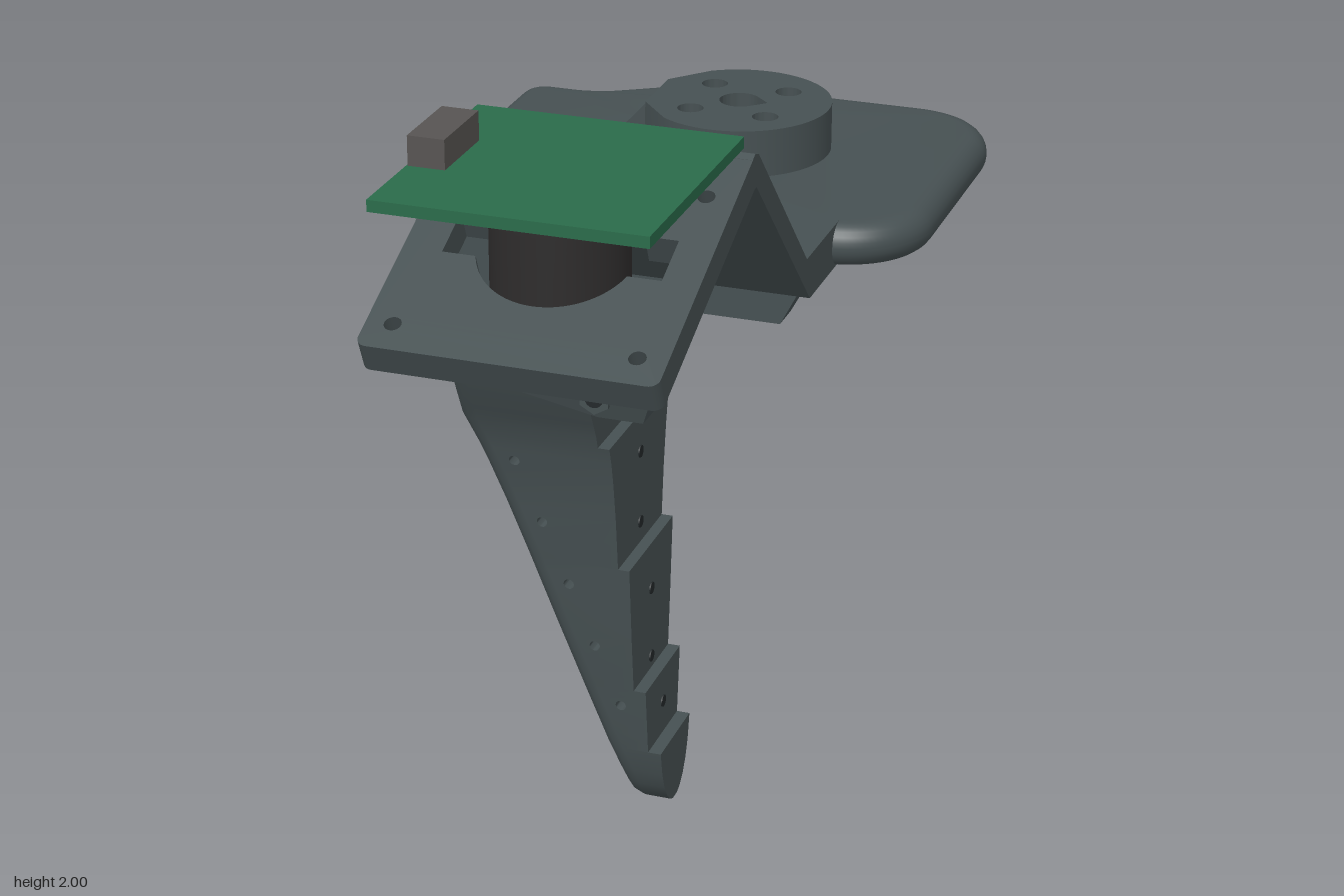
import * as THREE from 'three';
import { mergeGeometries, toCreasedNormals } from 'three/addons/utils/BufferGeometryUtils.js';

const mat = (color, extra = {}) => new THREE.MeshStandardMaterial({ color, ...extra });
const BODY = mat(0x465052), DARK = mat(0x23282a), BARREL = mat(0x2e2c2c);
const GREEN = mat(0x2a6b4a), GREY = mat(0x575452), GLASS = mat(0x1f4a66);
const CZ = -0.52; // centre line of hand and finger in z

const circle = (x, y, r) => new THREE.Path().absarc(x, y, r, 0, Math.PI * 2, true);
const poly = (pts, holes = []) => {
  const s = new THREE.Shape(pts.map(p => new THREE.Vector2(p[0], p[1])));
  s.holes.push(...holes);
  return s;
};
const extrude = (shape, depth, opts = {}) =>
  new THREE.ExtrudeGeometry(shape, { depth, bevelEnabled: false, curveSegments: 20, ...opts });

// Closed outline with rounded corners; each point is [x, y, radius]
function roundedOutline(pts) {
  const s = new THREE.Shape(), n = pts.length;
  pts.forEach((p, i) => {
    const toward = q => {
      const dx = q[0] - p[0], dy = q[1] - p[1], k = p[2] / Math.hypot(dx, dy);
      return [p[0] + dx * k, p[1] + dy * k];
    };
    const a = toward(pts[(i + n - 1) % n]), b = toward(pts[(i + 1) % n]);
    const c = 0.45; // handle length for a near-circular corner
    const mix = q => [p[0] + (q[0] - p[0]) * c, p[1] + (q[1] - p[1]) * c];
    if (i) s.lineTo(...a); else s.moveTo(...a);
    s.bezierCurveTo(...mix(a), ...mix(b), ...b);
  });
  s.closePath();
  return s;
}

// Slab drawn in x/y whose two faces are placed in z by a rule
function slab(pts, holes, zRule) {
  const g = extrude(poly(pts, holes), 1), p = g.attributes.position;
  for (let i = 0; i < p.count; i++) p.setZ(i, zRule(p.getX(i), p.getY(i), p.getZ(i)));
  return g;
}
const smooth = (parts, angle = 0.5) => {
  const g = mergeGeometries(parts);
  return toCreasedNormals(g, angle);
};

// Linear interpolation in a short [position, value] table
function lerpTable(t, y) {
  let i = 1;
  while (i < t.length - 1 && y > t[i][0]) i++;
  const [a, b] = [t[i - 1], t[i]];
  return a[1] + (b[1] - a[1]) * (y - a[0]) / (b[0] - a[0]);
}

export function createModel() {
  const model = new THREE.Group();
  const add = (name, geo, material, x = 0, y = 0, z = 0) => {
    const m = new THREE.Mesh(geo, material);
    m.name = name;
    m.position.set(x, y, z);
    model.add(m);
    return m;
  };

  // Finger: stacked bands, stepped grip in front, rounded sloping back, pin holes across
  const halfWidth = [[0, 0.015], [0.01, 0.035], [0.03, 0.055], [0.06, 0.073], [0.1, 0.088], [0.16, 0.1],
    [0.3, 0.115], [0.45, 0.13], [0.63, 0.145], [0.75, 0.158], [0.845, 0.173], [0.9, 0.185],
    [0.97, 0.207], [1.04, 0.242], [1.08, 0.26]];
  const back = [[0, -0.14], [0.01, -0.165], [0.03, -0.182], [0.06, -0.194], [0.97, -0.52], [1.08, -0.52]];
  const grip = y => y < 0.16 ? -0.09 : y < 0.32 ? -0.12 : y < 0.63 ? -0.148 : y < 0.94 ? -0.174 : -0.2;
  const pins = [[-0.18, 0.275], [-0.235, 0.423], [-0.29, 0.573], [-0.345, 0.722], [-0.398, 0.872]];
  const levels = [0, 0.01, 0.03, 0.06, 0.1, 0.16, 0.2, 0.25, 0.3, 0.32, 0.395, 0.45, 0.545, 0.6, 0.63,
    0.695, 0.75, 0.845, 0.9, 0.94, 0.97, 1.005, 1.04, 1.08];
  const bands = [];
  const radius = y => Math.min(0.05, lerpTable(halfWidth, y) * 0.6);
  const fingerZ = (x, y, t) => {
    const w = lerpTable(halfWidth, y), r = radius(y);
    const d = Math.max(0, r - (x - lerpTable(back, y)));
    return CZ + (t * 2 - 1) * (w - r + Math.sqrt(Math.max(0, r * r - d * d)));
  };
  for (let i = 0; i + 1 < levels.length; i++) {
    const y0 = levels[i], y1 = levels[i + 1], front = grip((y0 + y1) / 2);
    const edge = (y, k) => [k > 1 ? front : lerpTable(back, y) + radius(y) * k, y];
    const ks = [0, 0.07, 0.3, 0.6, 1, 2];
    for (let j = 0; j < 5; j++) {
      const holes = j < 4 ? [] : pins.filter(p => p[1] > y0 && p[1] < y1).map(p => circle(p[0], p[1], 0.012));
      bands.push(slab([edge(y0, ks[j]), edge(y0, ks[j + 1]), edge(y1, ks[j + 1]), edge(y1, ks[j])], holes, fingerZ));
    }
  }
  add('finger', smooth(bands), BODY);
  for (const y of [0.24, 0.35, 0.52, 0.68, 0.85, 1.01, 1.055]) {
    add('gripHole', new THREE.CylinderGeometry(0.014, 0.014, 0.004, 12).rotateZ(Math.PI / 2), DARK, grip(y) + 0.001, y, CZ);
  }

  // Palm: end wall with a round opening and rounded outer corners
  const endWall = extrude(poly([[-0.21, 1.06], [0.21, 1.06], [0.21, 1.535], [-0.21, 1.535]], [circle(0, 1.29, 0.08)]), 0.12);
  add('endWall', endWall.rotateY(-Math.PI / 2), BODY, -0.4, 0, CZ);
  for (const s of [-1, 1]) {
    add('endWallCorner', new THREE.CylinderGeometry(0.045, 0.045, 0.46, 24), BODY, -0.475, 1.305, CZ + s * 0.21);
    add('endWallSide', new THREE.BoxGeometry(0.12, 0.46, 0.05), BODY, -0.415, 1.305, CZ + s * 0.23);
  }

  // Palm: two side walls, slanted at the open end, chamfered at the bottom
  function sideWall(name, side, x0, x1, holes) {
    const right = y => x0 + (x1 - x0) * (y - 1.08) / 0.41;
    const zRule = (x, y, t) => {
      const flare = Math.min(1, Math.max(0, (x + 0.38) / 0.23));
      const chamfer = 0.04 * flare * Math.max(0, 1.2 - y) / 0.12;
      const inner = 0.255, outer = 0.258 + 0.118 * flare - chamfer;
      return CZ + (side > 0 ? inner + (outer - inner) * t : -outer + (outer - inner) * t);
    };
    const parts = [];
    for (const [y0, y1] of [[1.08, 1.2], [1.2, 1.535]]) {
      parts.push(slab([[-0.38, y0], [-0.15, y0], [-0.15, y1], [-0.38, y1]], [], zRule));
      parts.push(slab([[-0.15, y0], [right(y0), y0], [right(Math.min(y1, 1.5)), y1], [-0.15, y1]],
        y0 > 1.1 ? holes : [], zRule));
    }
    add(name, smooth(parts, 0.3), BODY);
    // Hexagonal screw seats
    for (const [x, y] of [[-0.15, 1.45], [-0.15, 1.13]]) {
      const g = new THREE.CylinderGeometry(0.036, 0.036, 0.01, 6).rotateX(Math.PI / 2);
      const z = CZ + side * (y < 1.2 ? 0.352 : 0.373);
      add('screwSeat', g, BODY, x, y, z);
      add('screwHole', new THREE.CylinderGeometry(0.02, 0.02, 0.014, 16).rotateX(Math.PI / 2), DARK, x, y, z);
    }
  }
  sideWall('frontWall', 1, -0.05, 0.1, []);
  sideWall('rearWall', -1, 0.06, 0.27, [circle(0.085, 1.29, 0.026)]);
  const hexSeat = extrude(poly([0, 1, 2, 3, 4, 5].map(i =>
    [0.048 * Math.sin(i * Math.PI / 3), 0.048 * Math.cos(i * Math.PI / 3)]), [circle(0, 0, 0.026)]), 0.006);
  add('hexSeat', hexSeat, BODY, 0.085, 1.29, CZ + -0.258);

  // Top plate with a full-round rim; outline in x and -z
  const plate = roundedOutline([[-0.52, 0.27, 0.06], [-0.36, 0.27, 0.04], [-0.15, 0.14, 0.07], [0.512, 0.14, 0.18],
    [0.512, 0.9, 0.18], [-0.15, 0.9, 0.09], [-0.36, 0.77, 0.04], [-0.52, 0.77, 0.06]]);
  plate.holes.push(circle(0.04, 0.525, 0.145));
  const plateGeo = extrude(plate, 0.002, { bevelEnabled: true, bevelSize: 0.044, bevelThickness: 0.044,
    bevelOffset: -0.044, bevelSegments: 6 });
  add('topPlate', toCreasedNormals(plateGeo.rotateX(-Math.PI / 2), 0.6), BODY, 0, 1.534, 0);

  // Hub with a tapering nose, a teardrop bore and four bolt holes
  const hub = new THREE.Shape();
  hub.absarc(0, 0, 0.19, -Math.PI * 0.7, Math.PI * 0.7, false);
  hub.lineTo(-0.18, 0.073);
  hub.lineTo(-0.18, -0.073);
  const bore = new THREE.Path().absarc(0, 0, 0.042, Math.PI / 4, Math.PI * 1.75, false);
  bore.lineTo(0.06, 0);
  hub.holes.push(bore);
  for (const x of [-0.08, 0.08]) for (const y of [-0.08, 0.08]) hub.holes.push(circle(x, y, 0.027));
  add('hub', toCreasedNormals(extrude(hub, 0.19).rotateX(-Math.PI / 2), 0.5), BODY, 0.04, 1.488, -0.525);
  add('hubRamp', extrude(poly([[-0.23, 1.575], [-0.135, 1.575], [-0.135, 1.678]]), 0.146), BODY, 0, 0, -0.598);
  add('clip', extrude(poly([[-0.28, 1.56], [-0.13, 1.56], [-0.13, 1.635], [-0.21, 1.635]]), 0.095), BODY, 0, 0, -0.267);

  // Camera arm: flat tab with a window, rising strip, tilted mounting plate
  const window_ = new THREE.Path([[0, 0.01], [0, 0.145], [0.26, 0.145], [0.26, 0.01]].map(p => new THREE.Vector2(...p)));
  const tab = poly([[-0.2, 0], [0.355, 0], [0.355, 0.2], [-0.2, 0.2]], [window_]);
  add('armTab', extrude(tab, 0.09).rotateX(-Math.PI / 2), BODY, 0, 1.49, 0);
  const strip = poly([[-0.005, 1.49], [0.005, 1.49], [0.36, 1.845], [0.39, 1.845], [0.385, 1.905], [0.37, 1.912],
    [0.35, 1.905], [0.03, 1.58], [-0.005, 1.58]]);
  add('armStrip', extrude(strip, 0.555).rotateY(-Math.PI / 2), BODY, 0.355, 0, 0);

  const tilt = 0.41, thick = 0.06, slotA = Math.asin(0.05 / 0.15);
  const mount = roundedOutline([[-0.2, 0, 0.005], [-0.2, -0.58, 0.02], [0.355, -0.58, 0.02], [0.355, 0, 0.005]]);
  const opening = new THREE.Path().absarc(0.08, -0.285, 0.15, slotA, Math.PI - slotA, false);
  opening.lineTo(-0.125, -0.235);
  opening.lineTo(-0.125, -0.335);
  opening.absarc(0.08, -0.285, 0.15, Math.PI + slotA, Math.PI * 2 - slotA, false);
  opening.lineTo(0.285, -0.335);
  opening.lineTo(0.285, -0.235);
  mount.holes.push(opening);
  for (const x of [-0.15, 0.3]) for (const s of [-0.12, -0.52]) mount.holes.push(circle(x, s, 0.016));
  const mountMesh = add('cameraMount', extrude(mount, thick).rotateX(-Math.PI / 2), BODY, 0,
    1.911 - thick * Math.cos(tilt), 0.37 - thick * Math.sin(tilt));
  mountMesh.rotation.x = tilt;

  // Camera: barrel, flange, lens, circuit board and connector
  const cyl = (r, h) => new THREE.CylinderGeometry(r, r, h, 40);
  add('cameraBarrel', cyl(0.126, 0.27), BARREL, 0.08, 1.745, 0.63);
  add('cameraFlange', cyl(0.143, 0.035), BARREL, 0.08, 1.884, 0.63);
  add('lens', cyl(0.1, 0.02), GLASS, 0.08, 1.605, 0.63);
  add('circuitBoard', new THREE.BoxGeometry(0.51, 0.022, 0.51), GREEN, 0.08, 1.933, 0.63);
  add('connector', new THREE.BoxGeometry(0.07, 0.058, 0.16), GREY, -0.137, 1.971, 0.63);
  return model;
}
